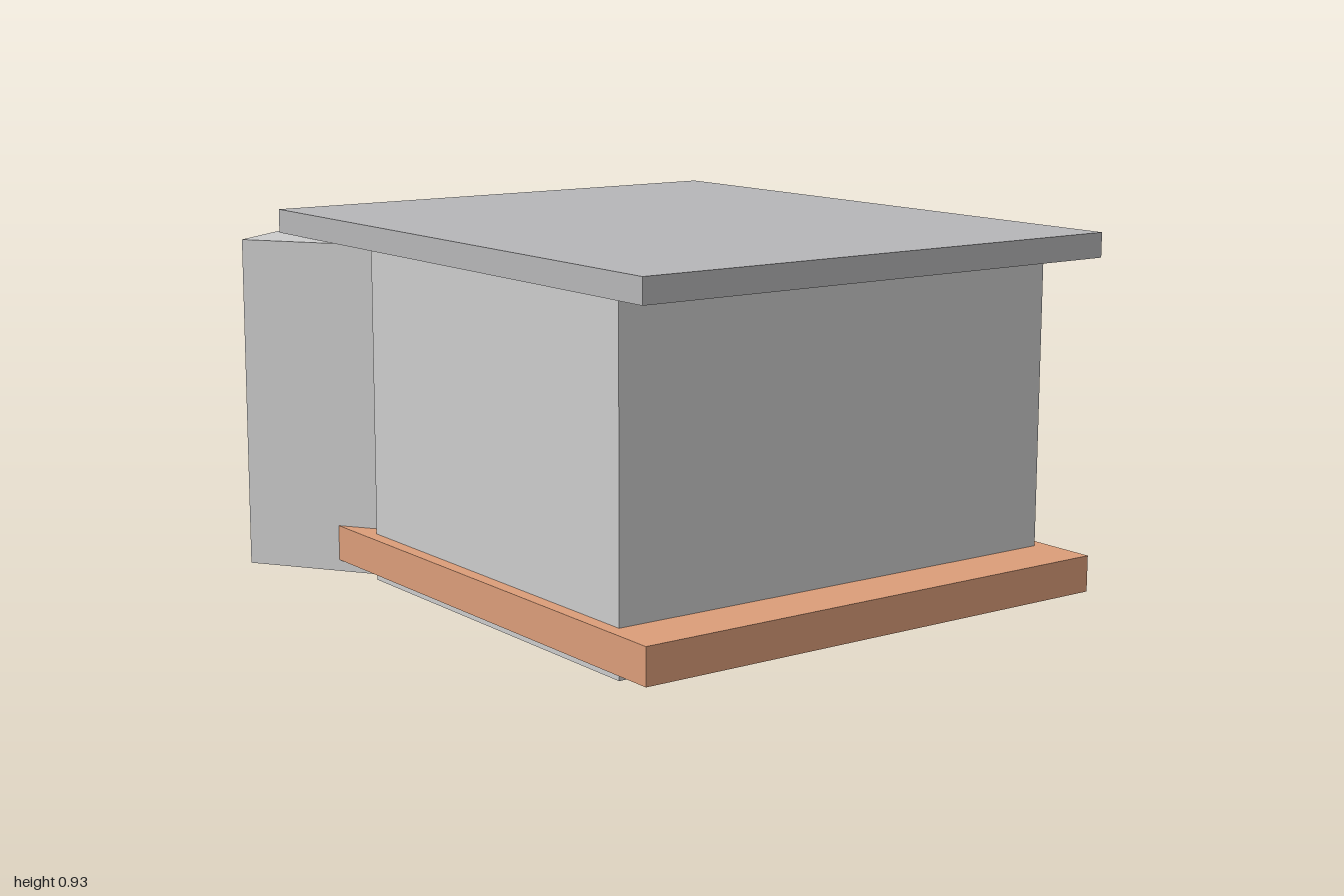
import * as THREE from 'three';

const wallMat = new THREE.MeshStandardMaterial({ color: 0xcccccc });
const roofMat = new THREE.MeshStandardMaterial({ color: 0xb6b6b8 });
const woodMat = new THREE.MeshStandardMaterial({ color: 0xdb9d79 });

// Box given by its min and max corners
function box(name, mat, [x0, y0, z0], [x1, y1, z1]) {
  const mesh = new THREE.Mesh(new THREE.BoxGeometry(x1 - x0, y1 - y0, z1 - z0), mat);
  mesh.position.set((x0 + x1) / 2, (y0 + y1) / 2, (z0 + z1) / 2);
  mesh.name = name;
  return mesh;
}

// Extrudes a floor plan upwards from y0 to y1
function storey(name, shape, y0, y1) {
  const geo = new THREE.ExtrudeGeometry(shape, { depth: y1 - y0, bevelEnabled: false, curveSegments: 16 });
  geo.rotateX(-Math.PI / 2);
  const mesh = new THREE.Mesh(geo, wallMat);
  mesh.position.y = y0;
  mesh.name = name;
  return mesh;
}

// Floor plan: main room with two splayed rear wings, mirrored across x = 0
function floorPlan() {
  const half = [[0, -0.67], [0.235, -1], [0.83, -0.58], [0.583, -0.23], [0.645, -0.23], [0.645, 0.85]];
  const mirrored = half.slice(1).reverse().map(([x, z]) => [-x, z]);
  return new THREE.Shape([...half, ...mirrored].map(([x, z]) => new THREE.Vector2(x, -z)));
}

export function createModel() {
  const model = new THREE.Group();
  model.name = 'house';

  // Floor slab with a small round recess underneath
  const floor = floorPlan();
  const recess = new THREE.Path();
  recess.absarc(0, 0.18, 0.06, 0, Math.PI * 2, true);
  floor.holes.push(recess);
  model.add(storey('floor', floor, 0, 0.03));

  // Walls of the main room and wings
  model.add(storey('walls', floorPlan(), 0.03, 0.865));

  // Overhanging flat roof
  model.add(box('roof', roofMat, [-0.69, 0.868, -0.64], [0.69, 0.93, 1]));

  // Wooden deck around the main room
  model.add(box('deck', woodMat, [-0.68, 0.03, -0.5], [0.68, 0.122, 1]));

  // Wooden cross rod, its ends showing in the notches beside the wings
  const rod = new THREE.Mesh(new THREE.CylinderGeometry(0.035, 0.035, 1.214, 24), woodMat);
  rod.rotation.z = Math.PI / 2;
  rod.position.set(0, 0.78, -0.27);
  rod.name = 'crossRod';
  model.add(rod);

  return model;
}
